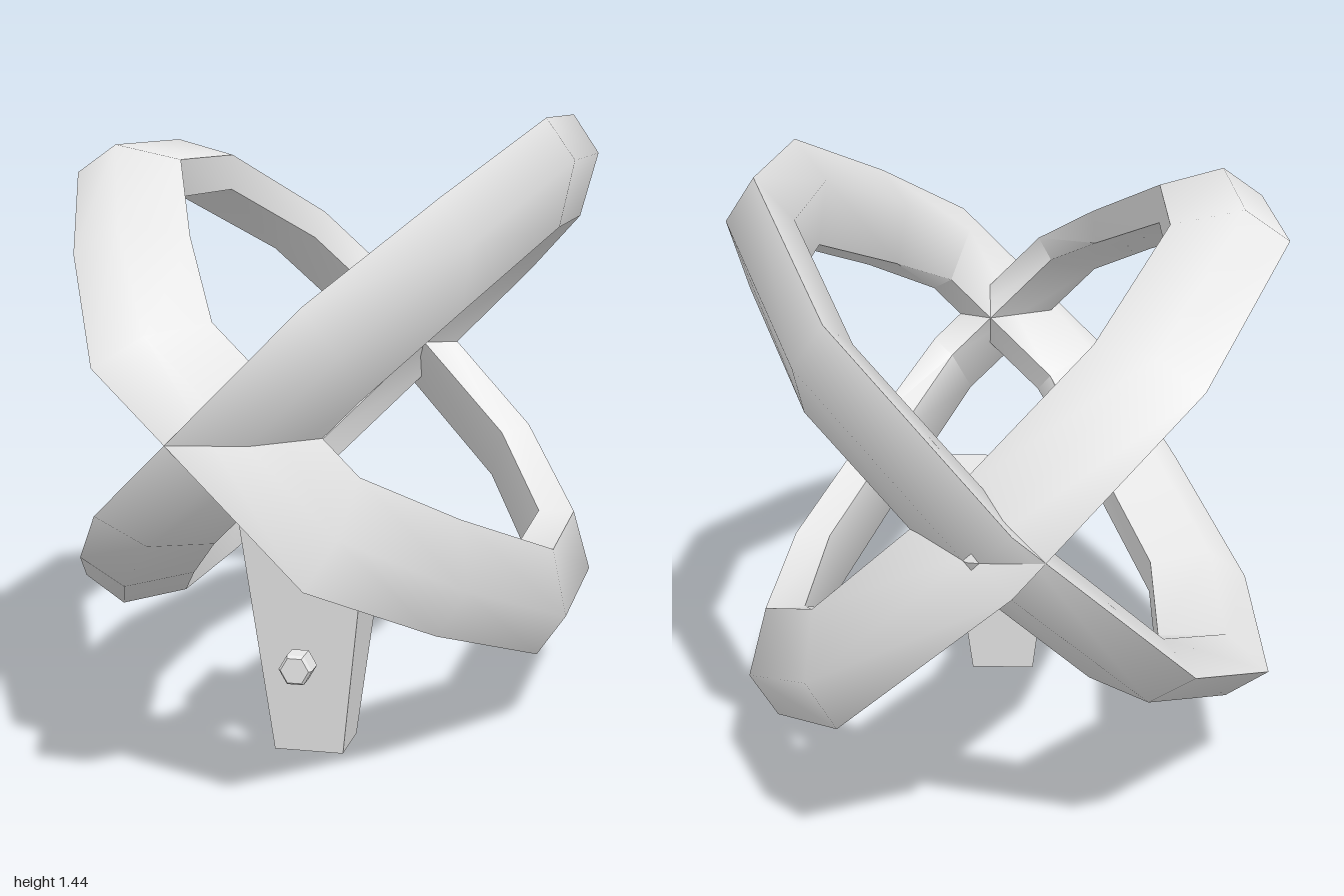
import * as THREE from 'three';
import { toCreasedNormals } from 'three/addons/utils/BufferGeometryUtils.js';

const GOLDEN = (1 + Math.sqrt(5)) / 2;

// Three outer corners of the five-sided band at each station: [across, depth] at these heights
const heights = [0, -0.113, -0.195];
const stations = [
  [[0, -1], [0, -0.97], [0, -0.832]],
  [[0.52, -0.84], [0.5, -0.82], [0.41, -0.72]],
  [[0.8, -0.4], [0.778, -0.393], [0.64, -0.36]],
  [[0.787, 0.13], [0.767, 0.126], [0.635, 0.095]],
  [[0.56, 0.59], [0.537, 0.577], [0.418, 0.518]],
  [[0.295, 1], [0.27, 0.97], [0.21, 0.85]],
];

// Complete a sheared pentagon from three neighbouring corners
function section(corners) {
  const [a, b, c] = corners.map(([x, z], i) => new THREE.Vector3(x, heights[i], z));
  const d = a.clone().addScaledVector(c.clone().sub(b), GOLDEN);
  const e = c.clone().addScaledVector(a.clone().sub(b), GOLDEN);
  return [a, b, c, d, e];
}

// Egg-shaped ring of eleven straight pieces, mirrored left to right
function ringGeometry() {
  const half = stations.map(section);
  const mirrored = half.slice(1).reverse().map((s) => s.map((p) => new THREE.Vector3(-p.x, p.y, p.z)));
  const sections = [...half, ...mirrored];
  const n = sections.length;
  const sides = 5;
  const index = [];
  for (let i = 0; i < n; i++) {
    for (let j = 0; j < sides; j++) {
      const i2 = (i + 1) % n;
      const j2 = (j + 1) % sides;
      const a = i * sides + j, b = i2 * sides + j, c = i * sides + j2, d = i2 * sides + j2;
      index.push(a, b, c, b, d, c);
    }
  }
  const geometry = new THREE.BufferGeometry().setFromPoints(sections.flat());
  geometry.setIndex(index);
  return toCreasedNormals(geometry, 1.2);
}

// Block tapering towards its foot
function pedestalGeometry() {
  const geometry = new THREE.BoxGeometry(0.29, 0.53, 0.26);
  const p = geometry.attributes.position;
  for (let i = 0; i < p.count; i++) {
    if (p.getY(i) < 0) p.setXYZ(i, p.getX(i) * 0.55, p.getY(i), p.getZ(i) * 0.56);
  }
  return toCreasedNormals(geometry, 0.3);
}

// Six-sided knob with a small front bevel
function knobGeometry() {
  const profile = [[0, -0.028], [0.038, -0.028], [0.038, 0.02], [0.032, 0.028], [0, 0.028]];
  const geometry = new THREE.LatheGeometry(profile.map(([r, y]) => new THREE.Vector2(r, y)), 6);
  geometry.rotateY(Math.PI / 2);
  geometry.rotateX(Math.PI / 2);
  return toCreasedNormals(geometry, 0.3);
}

export function createModel() {
  const model = new THREE.Group();
  const grey = new THREE.MeshStandardMaterial({ color: 0xe7e7e7 });
  grey.name = 'light grey';

  const add = (name, geometry, x, y, z) => {
    const mesh = new THREE.Mesh(geometry, grey);
    mesh.name = name;
    mesh.position.set(x, y, z);
    model.add(mesh);
    return mesh;
  };

  // Two crossing bands, a quarter turn apart
  const ring = ringGeometry();
  add('risingRing', ring, -0.031, 0.874, 0).rotation.z = Math.PI / 4;
  add('fallingRing', ring, -0.031, 0.746, 0).rotation.z = (3 * Math.PI) / 4;

  // Pedestal and knob
  add('pedestal', pedestalGeometry(), 0.037, 0.265, 0.307);
  add('knob', knobGeometry(), 0.035, 0.226, 0.477);

  return model;
}
